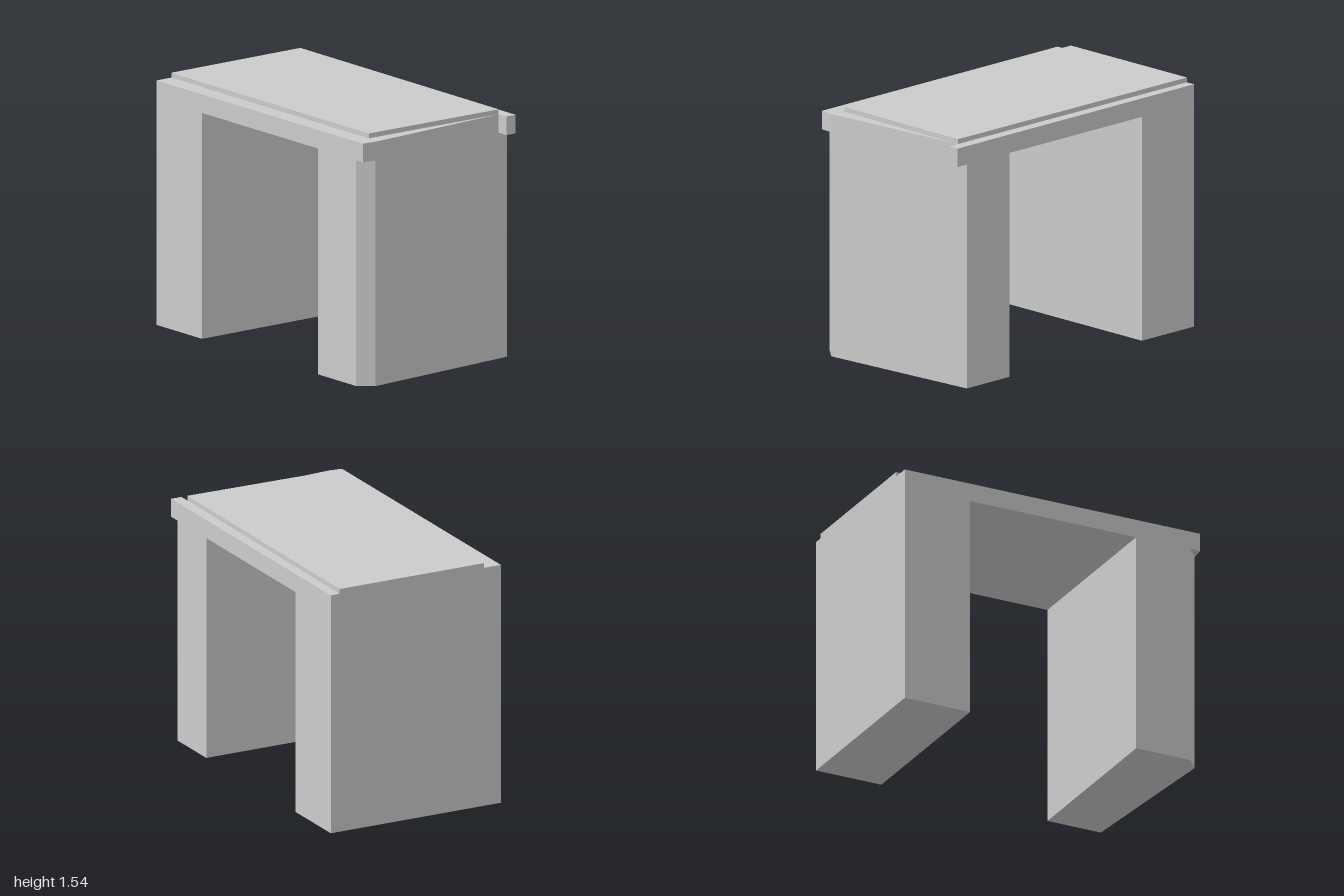
import * as THREE from 'three';

const material = new THREE.MeshStandardMaterial({ color: 0xcccccc, flatShading: true });

// Upright prism from a plan outline of [x, z] corners
function prism(name, plan, bottom, top) {
  const shape = new THREE.Shape(plan.map(([x, z]) => new THREE.Vector2(x, -z)));
  const geometry = new THREE.ExtrudeGeometry(shape, { depth: top - bottom, bevelEnabled: false });
  geometry.rotateX(-Math.PI / 2).translate(0, bottom, 0);
  const mesh = new THREE.Mesh(geometry, material);
  mesh.name = name;
  return mesh;
}

export function createModel() {
  const group = new THREE.Group();
  group.name = 'archway';
  const depth = 0.58, archTop = 1.395, deckTop = 1.51, roofTop = 1.54;

  // Plain pier on one side of the opening
  group.add(prism('rightPier', [[-1, depth], [-0.56, depth], [-0.56, -depth], [-1, -depth]], 0, archTop));

  // Other pier: chamfered front corner and a slanted outer wall
  group.add(prism('leftPier', [
    [0.56, depth], [0.925, depth], [1, 0.49], [0.92, -depth], [0.56, -depth],
  ], 0, archTop));

  // Deck over the opening, its front and back beams overhanging the slanted wall
  group.add(prism('deck', [
    [-1, depth], [0.99, depth], [1, 0.49], [0.926, -0.51],
    [1, -0.51], [1, -depth], [-1, -depth],
  ], archTop, deckTop));

  // Thin, slightly skewed slab on top
  group.add(prism('roofSlab', [
    [-1, 0.465], [-0.68, 0.47], [0.91, 0.47], [0.926, -0.51], [-1, -0.52],
  ], deckTop, roofTop));

  return group;
}
